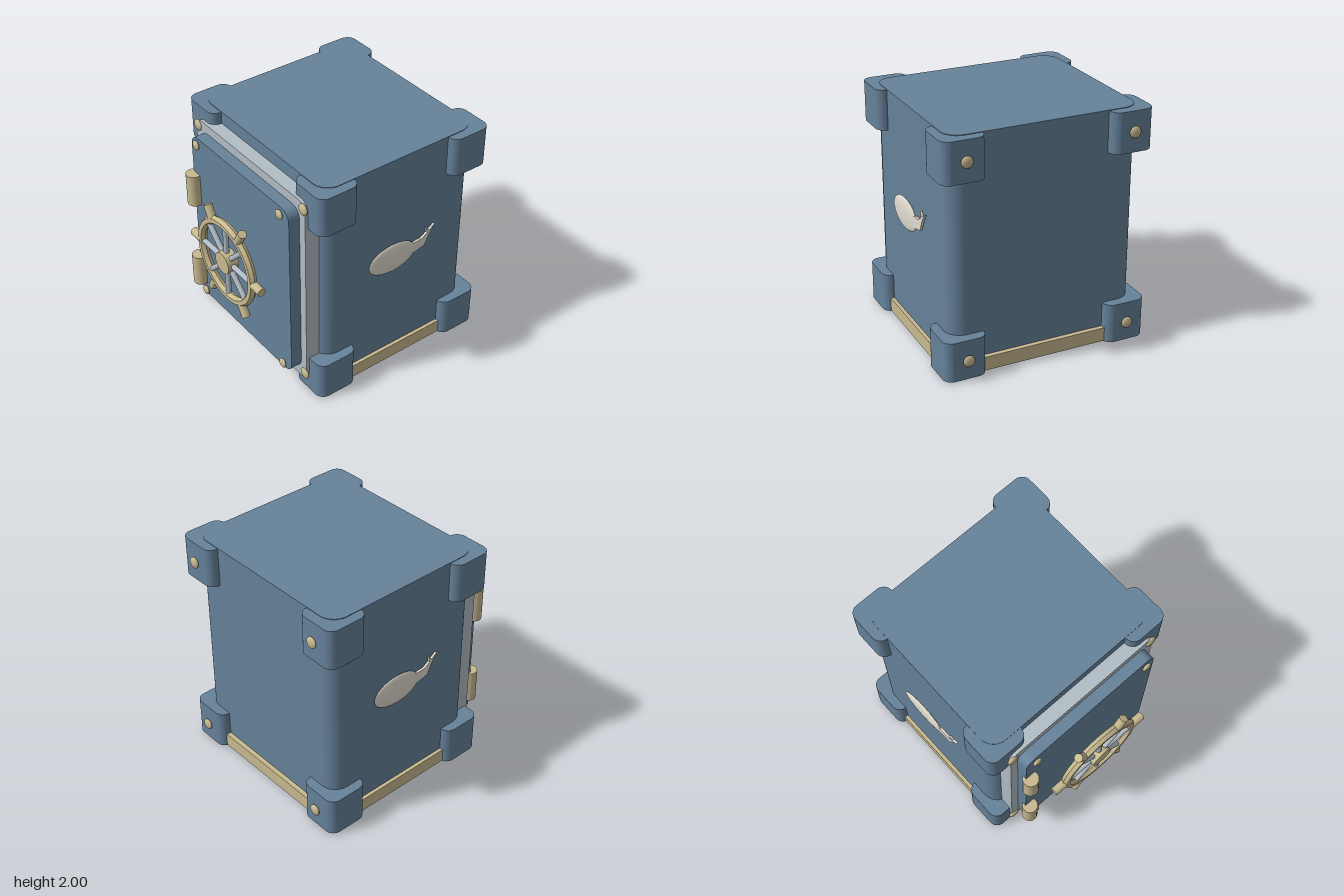
import * as THREE from 'three';
import { toCreasedNormals } from 'three/addons/utils/BufferGeometryUtils.js';

const mat = (color, extra = {}) => new THREE.MeshStandardMaterial({ color, ...extra });

// Rectangle with rounded corners, centred on the origin
function roundedRect(w, h, r) {
  const s = new THREE.Shape();
  const x = w / 2, y = h / 2;
  s.moveTo(-x + r, -y);
  s.lineTo(x - r, -y);
  s.absarc(x - r, -y + r, r, -Math.PI / 2, 0);
  s.lineTo(x, y - r);
  s.absarc(x - r, y - r, r, 0, Math.PI / 2);
  s.lineTo(-x + r, y);
  s.absarc(-x + r, y - r, r, Math.PI / 2, Math.PI);
  s.lineTo(-x, -y + r);
  s.absarc(-x + r, -y + r, r, Math.PI, Math.PI * 1.5);
  return s;
}

// Slab extruded along +z from z = 0
function slab(w, h, r, depth) {
  const g = new THREE.ExtrudeGeometry(roundedRect(w, h, r), { depth, bevelEnabled: false, curveSegments: 8 });
  return toCreasedNormals(g, 0.6);
}

// Upright block rising along +y from y = 0
const block = (w, d, r, height) => slab(w, d, r, height).rotateX(-Math.PI / 2);

export function createModel() {
  const blue = mat(0x66829a);
  const brass = mat(0xc8ba90);
  const steel = mat(0xb2bdc5);
  const ivory = mat(0xe2ddd0, { side: THREE.DoubleSide });
  const model = new THREE.Group();
  model.name = 'safe';
  const add = (name, geometry, material, x, y, z, parent = model) => {
    const m = new THREE.Mesh(geometry, material);
    m.name = name;
    m.position.set(x, y, z);
    parent.add(m);
    return m;
  };
  const midZ = -0.135;

  // Cabinet and base trim
  add('cabinet', block(1.62, 1.47, 0.14, 2), blue, 0, 0, midZ);
  add('baseTrim', block(1.68, 1.55, 0.12, 0.12), brass, 0, 0.015, midZ);

  // Corner guards
  const guard = block(0.36, 0.365, 0.08, 0.34);
  for (const x of [-0.71, 0.71])
    for (const y of [0.01, 1.655])
      for (const z of [-0.642, 0.642]) add('cornerGuard', guard, blue, x, y, midZ + z * 0.995);

  // Door frame and door
  add('doorFrame', slab(1.46, 1.77, 0.08, 0.16), steel, 0, 1.005, 0.553);
  add('door', slab(1.32, 1.61, 0.09, 0.11), blue, 0, 1.005, 0.7);

  // Rivets on the frame, the rear guards and the door
  const rivet = (name, r, x, y, z) =>
    add(name, new THREE.SphereGeometry(r, 20, 12), brass, x, y, z).scale.set(1, 1, 0.42);
  for (const s of [-1, 1]) {
    for (const y of [0.18, 1.83]) {
      rivet('frameRivet', 0.049, s * 0.705, y, 0.712);
      rivet('rearRivet', 0.049, s * 0.705, y, -0.978);
    }
    for (const y of [0.255, 1.755]) rivet('doorRivet', 0.042, s * 0.565, y, 0.83).scale;
  }

  // Hinges
  for (const y of [0.465, 1.305])
    add('hinge', new THREE.CylinderGeometry(0.065, 0.065, 0.29, 24), brass, -0.632, y, 0.832);

  // Spoked hand wheel
  const wheel = new THREE.Group();
  wheel.name = 'handWheel';
  wheel.position.set(0, 1.005, 0.95);
  model.add(wheel);
  const rim = toCreasedNormals(new THREE.TorusGeometry(0.354, 0.037, 6, 32), 0.5);
  add('rim', rim, brass, 0, 0, 0, wheel);
  add('hub', new THREE.CylinderGeometry(0.095, 0.095, 0.1, 32).rotateX(Math.PI / 2), brass, 0, 0, 0, wheel);
  const radial = (name, count, r, from, to, material) => {
    const g = new THREE.CylinderGeometry(r, r, to - from, 14).translate(0, (from + to) / 2, 0);
    for (let i = 0; i < count; i++)
      add(name, g, material, 0, 0, 0, wheel).rotation.z = (i / count) * Math.PI * 2 + Math.PI / 2;
  };
  radial('spoke', 8, 0.023, 0.05, 0.345, steel);
  radial('handle', 6, 0.036, 0.36, 0.483, brass);

  // Fish emblems: tail points as [distance along the side, height]
  const tail = [[0.22, 1.13], [0.27, 1.14], [0.35, 1.145], [0.4, 1.18], [0.39, 1.235], [0.422, 1.2],
    [0.475, 1.235], [0.422, 1.155], [0.38, 1.065], [0.27, 1.04], [0.22, 1.04]];
  const fishMid = 0.145;
  const tailShape = new THREE.Shape(tail.map(([u, y]) => new THREE.Vector2(u - fishMid, y)));
  const tailGeo = new THREE.ExtrudeGeometry(tailShape, { depth: 0.02, bevelEnabled: false })
    .translate(0, 0, -0.01).rotateY(Math.PI / 2);
  const bodyGeo = new THREE.SphereGeometry(1, 16, 12).rotateX(Math.PI / 2).scale(0.022, 0.135, 0.235);
  for (const s of [1, -1]) {
    const fish = new THREE.Group();
    fish.name = s > 0 ? 'leftFish' : 'rightFish';
    fish.position.set(s * 0.833, 0, -fishMid);
    fish.rotation.y = s > 0 ? 0 : Math.PI;
    model.add(fish);
    add('fishBody', bodyGeo, ivory, 0, 1.083, fishMid - 0.055, fish);
    add('fishTail', tailGeo, ivory, 0, 0, 0, fish);
  }
  return model;
}
